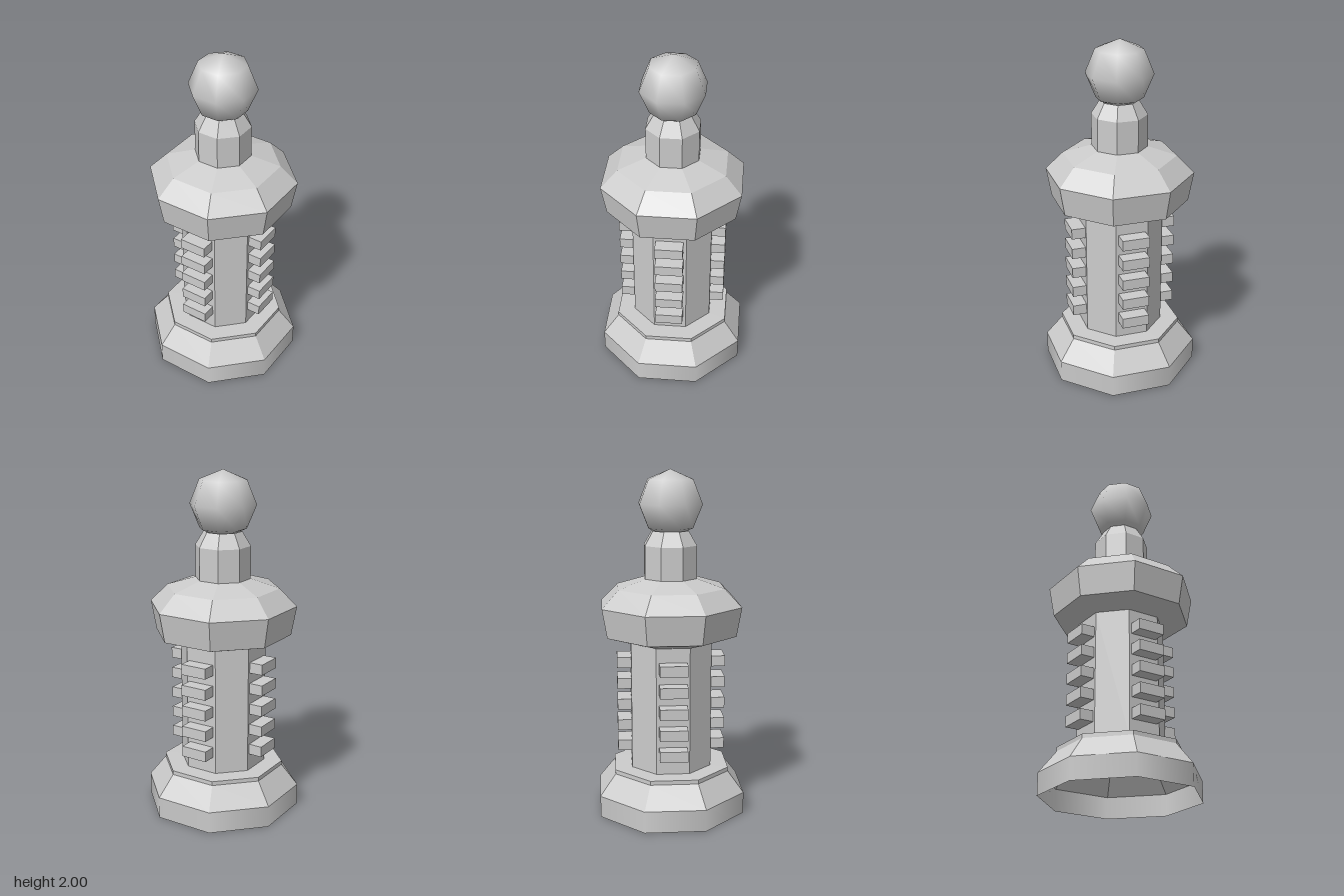
import * as THREE from 'three';

const flat = new THREE.MeshStandardMaterial({ color: 0xcccccc, flatShading: true, side: THREE.DoubleSide });
const smooth = new THREE.MeshStandardMaterial({ color: 0xcccccc, side: THREE.DoubleSide });

// Eight-sided turned part from [radius, height] pairs, listed bottom to top
function turned(name, profile, material = flat) {
  const points = profile.map(([r, y]) => new THREE.Vector2(r, y));
  const mesh = new THREE.Mesh(new THREE.LatheGeometry(points, 8), material);
  mesh.name = name;
  return mesh;
}

export function createModel() {
  const model = new THREE.Group();
  model.name = 'turret';

  // Hollow foot, open underneath, with a sloped skirt and small ledge
  model.add(turned('baseBand', [[0.455, 0], [0.455, 0.127]], smooth));
  model.add(turned('baseSkirt', [[0.455, 0.127], [0.357, 0.25], [0.357, 0.274], [0.25, 0.276]]));

  // Column, flared collar and neck
  model.add(turned('column', [[0.25, 0.276], [0.25, 1.02]]));
  model.add(turned('collar', [[0.25, 1.02], [0.397, 1.065], [0.428, 1.235], [0.327, 1.336], [0.16, 1.387]]));
  model.add(turned('neck', [[0.16, 1.387], [0.16, 1.575], [0.11, 1.657]]));

  // Ball on top
  const ball = new THREE.Mesh(new THREE.SphereGeometry(0.192, 8, 4), smooth);
  ball.name = 'ball';
  ball.position.y = 1.808;
  model.add(ball);

  // Stacks of five fins on every other face of the column
  const inner = 0.21, outer = 0.312;
  const finGeometry = new THREE.BoxGeometry(0.16, 0.062, outer - inner);
  for (let side = 0; side < 4; side++) {
    const stack = new THREE.Group();
    stack.name = 'finStack';
    stack.rotation.y = Math.PI / 8 + side * Math.PI / 2;
    for (let i = 0; i < 5; i++) {
      const fin = new THREE.Mesh(finGeometry, flat);
      fin.name = 'fin';
      fin.position.set(0, 0.406 + i * 0.125, (inner + outer) / 2);
      stack.add(fin);
    }
    model.add(stack);
  }
  return model;
}
